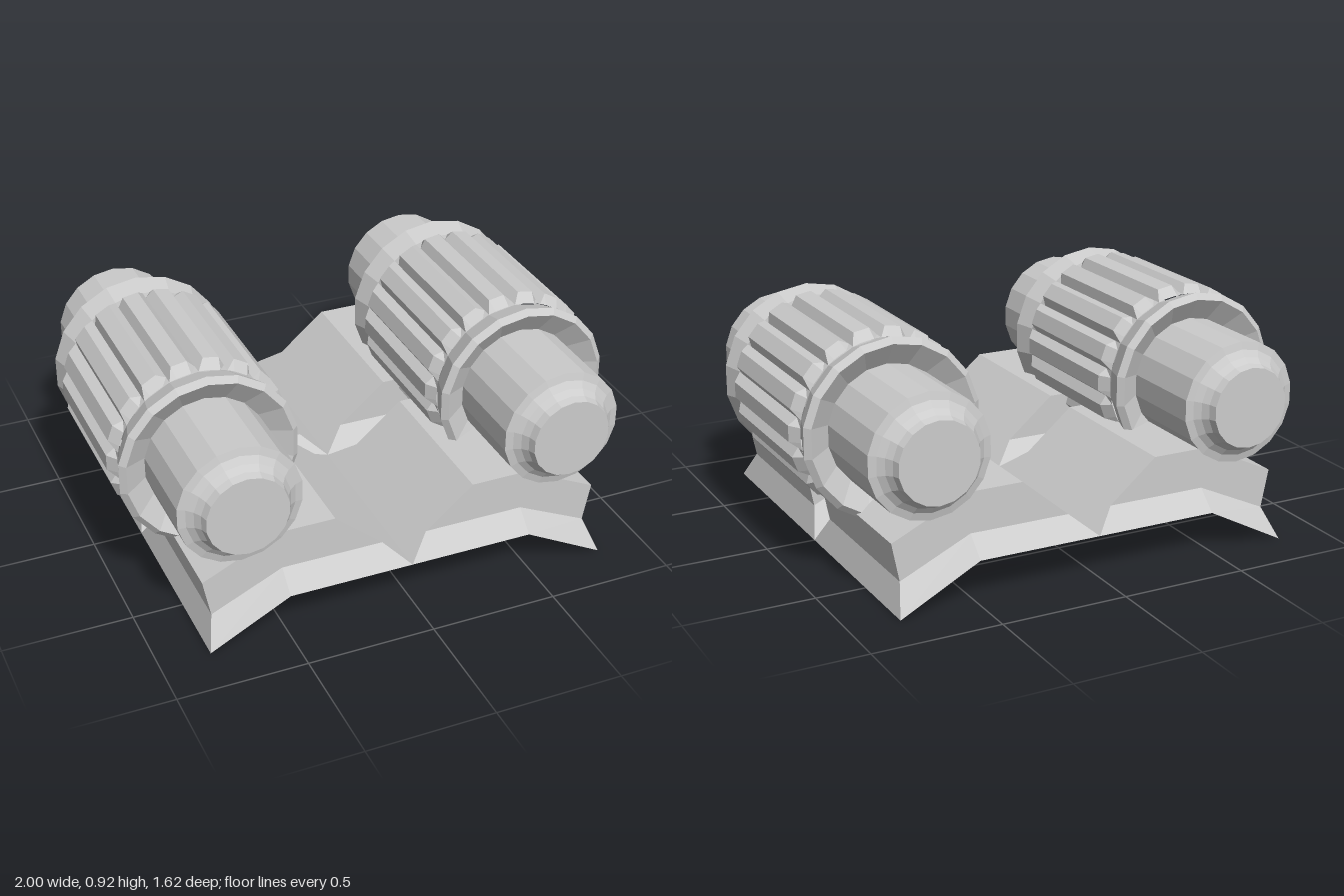
import * as THREE from 'three';

const material = new THREE.MeshStandardMaterial({ color: 0xcccccc, flatShading: true });

function add(parent, name, geometry) {
  const mesh = new THREE.Mesh(geometry, material);
  mesh.name = name;
  parent.add(mesh);
  return mesh;
}

// Skin between counter-clockwise [x, y] loops placed at rising z
function loft(sections) {
  const positions = [], index = [], n = sections[0].loop.length;
  for (const { loop, z } of sections) for (const [x, y] of loop) positions.push(x, y, z);
  for (let s = 0; s < sections.length - 1; s++) {
    for (let i = 0; i < n; i++) {
      const a = s * n + i, b = s * n + (i + 1) % n;
      index.push(a, b, b + n, a, b + n, a + n);
    }
  }
  const geometry = new THREE.BufferGeometry();
  geometry.setAttribute('position', new THREE.Float32BufferAttribute(positions, 3));
  geometry.setIndex(index);
  geometry.computeVertexNormals();
  return geometry;
}

// Turned part along z from [radius, z] points
function turned(points) {
  return new THREE.LatheGeometry(points.map(([r, z]) => new THREE.Vector2(r, z)), 18).rotateX(Math.PI / 2);
}

// Shaft with coved ends
function shaftGeometry() {
  const end = [[0.24, 0.73], [0.21, 0.737], [0.185, 0.755], [0.167, 0.78], [0.158, 0.81], [0, 0.81]];
  return turned([...end.map(([r, z]) => [r, -z]).reverse(), ...end]);
}

// Drum with flat-topped ribs, sloped down at both ends
function drumGeometry() {
  const low = 0.325, high = 0.357, ribbed = [], plain = [];
  for (let i = 0; i < 18; i++) {
    for (const [offset, r] of [[-5, high], [5, high], [10, low]]) {
      const a = THREE.MathUtils.degToRad(i * 20 + offset);
      ribbed.push([r * Math.cos(a), r * Math.sin(a)]);
      plain.push([low * Math.cos(a), low * Math.sin(a)]);
    }
  }
  return loft([
    { loop: plain, z: -0.325 }, { loop: ribbed, z: -0.285 },
    { loop: ribbed, z: 0.285 }, { loop: plain, z: 0.325 },
  ]);
}

function createRoller() {
  const roller = new THREE.Group();
  roller.name = 'roller';
  add(roller, 'shaft', shaftGeometry());
  add(roller, 'ribbedDrum', drumGeometry());
  // Flared collars with dished faces
  const collar = turned([[0.235, 0.32], [0.322, 0.32], [0.352, 0.412], [0.328, 0.432], [0.235, 0.37]]);
  add(roller, 'frontCollar', collar);
  add(roller, 'backCollar', collar).rotation.y = Math.PI;
  roller.position.set(0.645, 0.56, 0);
  return roller;
}

// Base tile: bevelled foot and faceted block above it
function createTile() {
  const tile = new THREE.Group();
  tile.name = 'baseTile';
  const inner = [0, 0.165], knee = [0.49, 0.165], tip = [0.805, 0];
  const upper = [[0.77, 0.11], [0.49, 0.24], [0.09, 0.24]];
  const full = [inner, knee, tip, ...upper];
  const edge = [inner, knee, tip, tip, knee, inner];
  add(tile, 'foot', loft([
    { loop: edge, z: 0 }, { loop: full, z: 0.08 }, { loop: full, z: 0.73 }, { loop: edge, z: 0.81 },
  ]));
  const outline = [[0.09, 0.24], [0.49, 0.24], [0.77, 0.11], [0.8, 0.26], [0.5, 0.4], [0.28, 0.4]];
  const shape = new THREE.Shape(outline.map(([x, y]) => new THREE.Vector2(x, y)));
  const block = new THREE.ExtrudeGeometry(shape, { depth: 0.65, bevelEnabled: false });
  add(tile, 'block', block.translate(0, 0, 0.08));
  return tile;
}

function createSide(name) {
  const side = new THREE.Group();
  side.name = name;
  const frontTile = createTile(), backTile = createTile();
  backTile.position.z = -0.81;
  side.add(frontTile, backTile, createRoller());
  // Small bridge under the drum
  add(side, 'bridge', new THREE.BoxGeometry(0.2, 0.17, 0.16)).position.set(0.62, 0.295, 0);
  return side;
}

export function createModel() {
  const model = new THREE.Group();
  model.name = 'twinRollerBase';
  const left = createSide('leftSide'), right = createSide('rightSide');
  right.rotation.y = Math.PI;
  model.add(left, right);
  return model;
}
